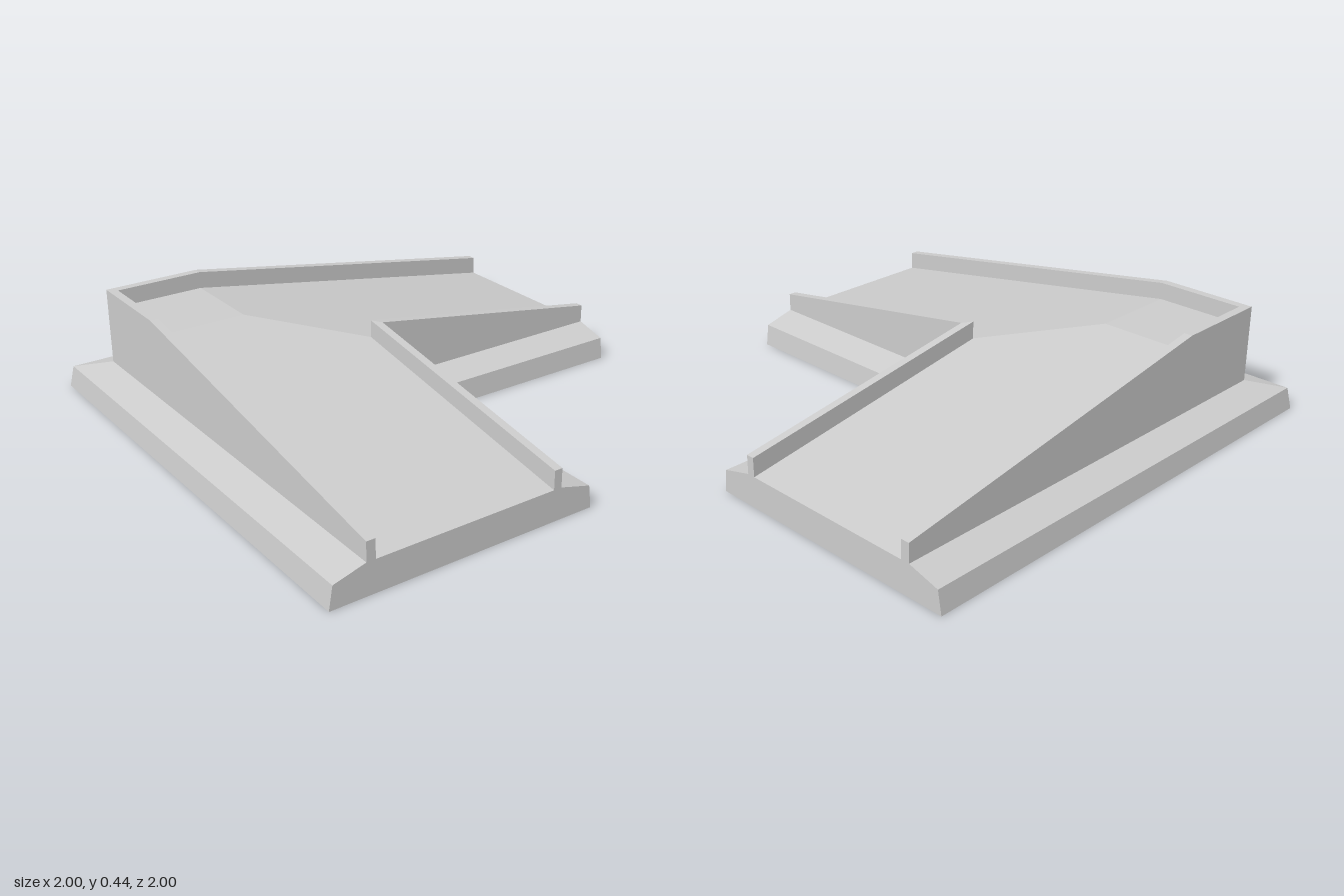
import * as THREE from 'three';

const BREAK = -0.46; // where the ramps level out into the corner platform
const ramp = (low, high) => (s) => low + (high - low) * Math.min(1, (1 - s) / (1 - BREAK));
const flat = (y) => () => y;
const deckY = ramp(0.125, 0.37);
const railY = ramp(0.2, 0.44);

// Cross-section across an arm, outer edge to inner edge: [offset, height along the arm]
const profile = [
  [1, flat(0)], [0.985, flat(0.09)], [0.86, flat(0.125)],
  [0.86, railY], [0.825, railY], [0.825, deckY],
  [-BREAK, deckY],
  [0.095, deckY], [0.095, railY], [0.062, railY],
  [0.062, flat(0.125)], [-0.068, flat(0.09)], [-0.08, flat(0)],
];

// One profile point followed from the back arm's end, round the mitre, to the side arm's end
function rail([t, height]) {
  const mid = Math.max(BREAK, -t);
  const back = [1, mid].map((s) => new THREE.Vector3(-t, height(s), -s));
  const side = [-t, mid, 1].map((s) => new THREE.Vector3(s, height(s), t));
  return [...back, ...side];
}

// Flat-faced strip through a run of profile points, skipping collapsed triangles
function strip(from, to) {
  const pos = [];
  const tri = (a, b, c) => {
    if (new THREE.Triangle(a, b, c).getArea() < 1e-6) return;
    for (const p of [a, b, c]) pos.push(p.x, p.y, p.z);
  };
  for (let j = from; j < to; j++) {
    const a = rail(profile[j]);
    const b = rail(profile[j + 1]);
    for (let i = 0; i < a.length - 1; i++) {
      tri(a[i], a[i + 1], b[i + 1]);
      tri(a[i], b[i + 1], b[i]);
    }
  }
  const g = new THREE.BufferGeometry();
  g.setAttribute('position', new THREE.Float32BufferAttribute(pos, 3));
  g.computeVertexNormals();
  return g;
}

// Closed end of an arm, in the outline of the cross-section
function endCap(sign) {
  const outline = profile.map(([t, height]) => new THREE.Vector2(sign * t, height(1)));
  return new THREE.ShapeGeometry(new THREE.Shape(outline));
}

export function createModel() {
  const group = new THREE.Group();
  const material = new THREE.MeshStandardMaterial({
    color: 0xcccccc, flatShading: true, side: THREE.DoubleSide,
  });
  const add = (name, geometry) => {
    const mesh = new THREE.Mesh(geometry, material);
    mesh.name = name;
    group.add(mesh);
  };

  // Open-bottomed shell of the L-shaped ramp
  add('outerFooting', strip(0, 2));
  add('outerParapet', strip(2, 5));
  add('deck', strip(5, 7));
  add('innerParapet', strip(7, 10));
  add('innerFooting', strip(10, 12));

  // Arm ends
  add('sideEnd', endCap(-1).rotateY(Math.PI / 2).translate(1, 0, 0));
  add('backEnd', endCap(1).rotateY(Math.PI).translate(0, 0, -1));

  return group;
}
